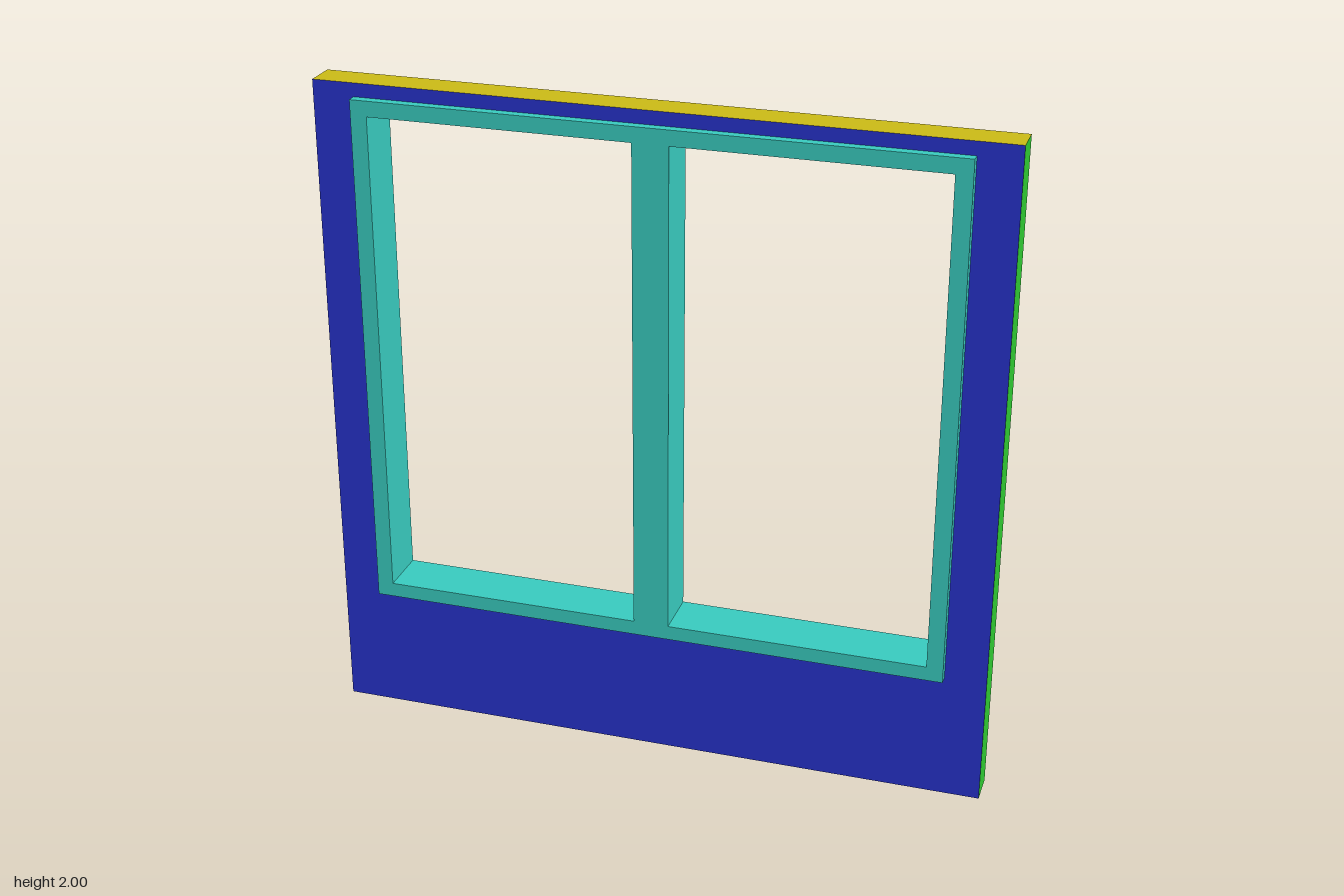
import * as THREE from 'three';

const paint = (color) => new THREE.MeshStandardMaterial({ color });

// Add a counter-clockwise rectangle to a Shape or Path
function rect(path, x0, y0, x1, y1) {
  path.moveTo(x0, y0);
  path.lineTo(x1, y0);
  path.lineTo(x1, y1);
  path.lineTo(x0, y1);
  path.closePath();
  return path;
}

// Rectangular slab with rectangular openings, centred on z = 0
function slab(outer, openings, depth) {
  const shape = rect(new THREE.Shape(), ...outer);
  for (const o of openings) shape.holes.push(rect(new THREE.Path(), ...o));
  const geo = new THREE.ExtrudeGeometry(shape, { depth, bevelEnabled: false });
  geo.translate(0, 0, -depth / 2);
  return geo;
}

// One material group per triangle, picked by the side it faces:
// 0 +x, 1 -x, 2 up or down, 3 +z, 4 -z
function groupBySide(geo) {
  const n = geo.attributes.normal;
  geo.clearGroups();
  for (let i = 0; i < n.count; i += 3) {
    const x = n.getX(i), y = n.getY(i), z = n.getZ(i);
    let side = z > 0 ? 3 : 4;
    if (Math.abs(x) > 0.5) side = x > 0 ? 0 : 1;
    else if (Math.abs(y) > 0.5) side = 2;
    geo.addGroup(i, 3, side);
  }
  return geo;
}

export function createModel() {
  const model = new THREE.Group();
  model.name = 'wallWithWindow';

  const frameOuter = [-0.877, 0.39, 0.877, 1.96];

  // Wall panel, each side painted differently
  const wall = new THREE.Mesh(
    groupBySide(slab([-1, 0, 1, 2], [frameOuter], 0.1)),
    [0x30cc32, 0xcc1420, 0xccbc16, 0x2732cc, 0xcccccc].map(paint)
  );
  wall.name = 'wallPanel';
  model.add(wall);

  // Window frame with a central mullion, proud of the wall on both faces
  const panes = [
    [-0.828, 0.434, -0.053, 1.914],
    [0.053, 0.434, 0.828, 1.914],
  ];
  const frame = new THREE.Mesh(slab(frameOuter, panes, 0.157), paint(0x39ccc0));
  frame.name = 'windowFrame';
  model.add(frame);

  return model;
}
